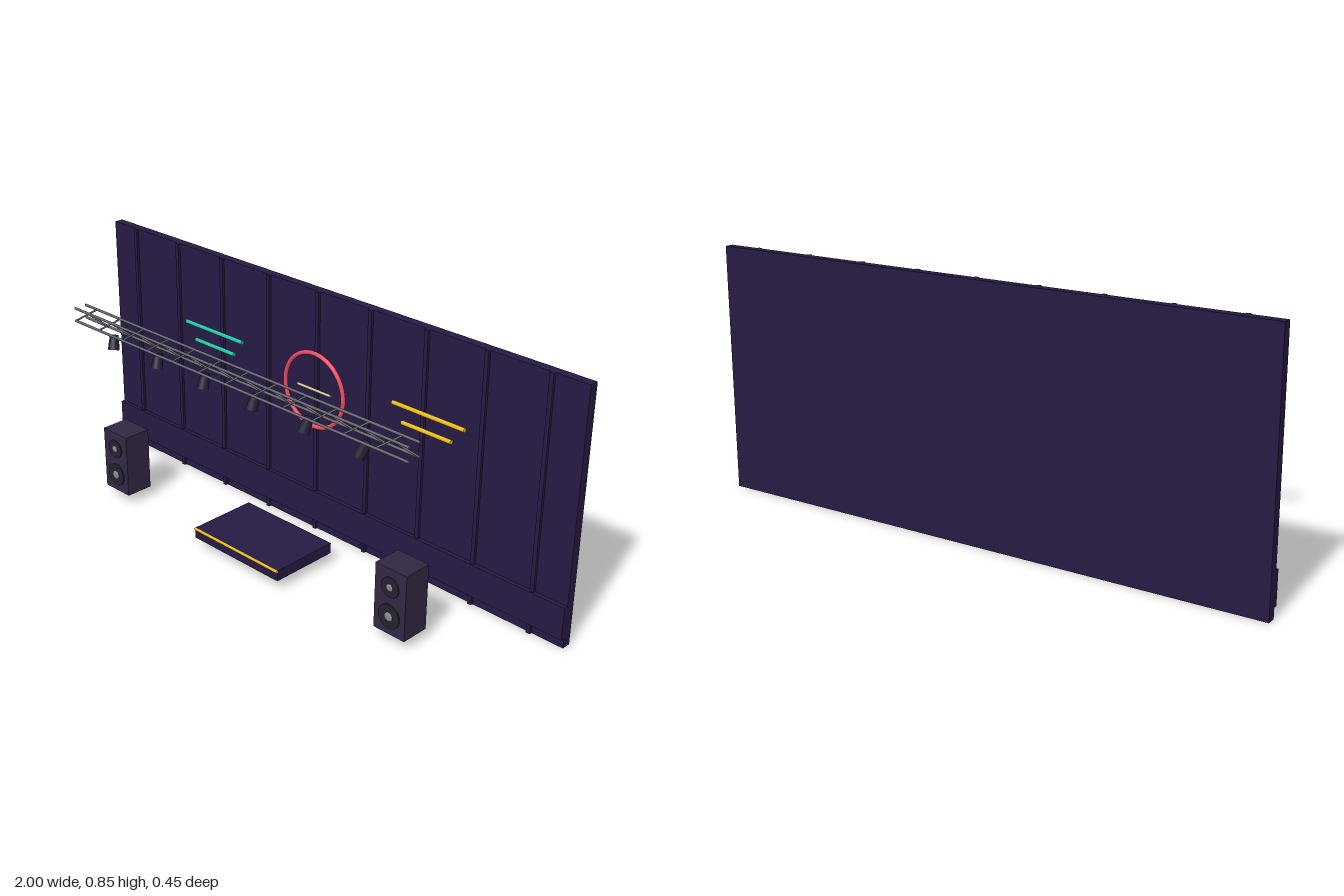
import * as THREE from 'three';

const mat = (name, color) => {
  const m = new THREE.MeshStandardMaterial({ color });
  m.name = name;
  return m;
};

export function createModel() {
  const root = new THREE.Group();
  root.name = 'stageSet';
  const M = {
    wall: mat('wallPurple', 0x261a43),
    cabinet: mat('cabinetCharcoal', 0x312842),
    cone: mat('coneBlack', 0x262230),
    cap: mat('capGrey', 0x8a8894),
    truss: mat('trussGrey', 0x67666f),
    lamp: mat('lampDark', 0x241f36),
    red: mat('neonRed', 0xf5506a),
    teal: mat('neonTeal', 0x20c4a4),
    yellow: mat('neonYellow', 0xeabc14),
    pale: mat('paleWarm', 0xd8caa0),
  };

  const add = (name, geo, material, x = 0, y = 0, z = 0, parent = root) => {
    const mesh = new THREE.Mesh(geo, material);
    mesh.name = name;
    mesh.position.set(x, y, z);
    parent.add(mesh);
    return mesh;
  };
  // Box given by its min and max corners
  const box = (name, material, x0, x1, y0, y1, z0, z1, parent = root) =>
    add(name, new THREE.BoxGeometry(x1 - x0, y1 - y0, z1 - z0), material,
      (x0 + x1) / 2, (y0 + y1) / 2, (z0 + z1) / 2, parent);
  // Round bar between two points
  const up = new THREE.Vector3(0, 1, 0);
  const bar = (name, material, a, b, r, parent = root) => {
    const p = new THREE.Vector3(...a), q = new THREE.Vector3(...b);
    const d = q.clone().sub(p);
    const mesh = add(name, new THREE.CylinderGeometry(r, r, d.length(), 24), material, 0, 0, 0, parent);
    mesh.position.copy(p).add(q).multiplyScalar(0.5);
    mesh.quaternion.setFromUnitVectors(up, d.normalize());
    return mesh;
  };

  // Back wall with vertical battens and a low panel
  box('backWall', M.wall, -1, 1, 0, 0.845, -0.223, -0.192);
  for (let i = -4; i <= 4; i++) {
    box('wallBatten', M.wall, i * 0.22 - 0.007, i * 0.22 + 0.007, 0, 0.845, -0.193, -0.183);
  }
  box('lowerPanel', M.wall, -1, 1, 0.035, 0.145, -0.193, -0.178);

  // Neon ring and light bars
  add('neonRing', new THREE.TorusGeometry(0.1275, 0.0075, 20, 80), M.red, 0, 0.513, -0.174);
  bar('ringBar', M.pale, [-0.072, 0.515, -0.174], [0.072, 0.515, -0.174], 0.0045);
  for (const [side, material] of [[-1, M.teal], [1, M.yellow]]) {
    for (const [x0, x1, y] of [[0.33, 0.608, 0.58], [0.37, 0.562, 0.525]]) {
      bar('neonBar', material, [side * x0, y, -0.174], [side * x1, y, -0.174], 0.007);
    }
  }

  // Lighting truss: four chords with zigzag lacing
  const truss = new THREE.Group();
  truss.name = 'truss';
  root.add(truss);
  const [yLow, yHigh, zBack, zFront] = [0.658, 0.702, 0.17, 0.214];
  for (const y of [yLow, yHigh]) for (const z of [zBack, zFront]) {
    bar('trussChord', M.truss, [-0.72, y, z], [0.72, y, z], 0.0043, truss);
  }
  for (let i = 0; i < 24; i++) {
    const x = -0.72 + i * 0.06;
    const [ya, yb] = i % 2 ? [yHigh, yLow] : [yLow, yHigh];
    bar('trussLacing', M.truss, [x, ya, zFront], [x + 0.06, yb, zBack], 0.003, truss);
  }

  // Hanging spotlights, tipped forward and inward
  const lenses = [M.red, M.teal, M.yellow];
  for (let i = 0; i < 6; i++) {
    const x = (i - 2.5) * 0.217;
    const lamp = new THREE.Group();
    lamp.name = 'spotlight';
    lamp.position.set(x, 0.629, 0.199);
    lamp.rotation.set(-0.33, 0, -x * 0.5);
    root.add(lamp);
    add('lampBody', new THREE.CylinderGeometry(0.014, 0.019, 0.048, 24), M.lamp, 0, 0, 0, lamp);
    add('lampLens', new THREE.CylinderGeometry(0.0175, 0.0175, 0.002, 24), lenses[i % 3], 0, -0.0245, 0, lamp);
  }

  // Loudspeakers with two drivers each
  for (const side of [-1, 1]) {
    const speaker = new THREE.Group();
    speaker.name = side > 0 ? 'leftSpeaker' : 'rightSpeaker';
    speaker.position.x = side * 0.624;
    root.add(speaker);
    box('cabinet', M.cabinet, -0.059, 0.059, 0.035, 0.256, 0.055, 0.153, speaker);
    for (const [y, r, capR] of [[0.196, 0.033, 0.012], [0.097, 0.04, 0.015]]) {
      const cone = add('driverCone', new THREE.CylinderGeometry(r, r, 0.006, 32), M.cone, 0, y, 0.154, speaker);
      cone.rotation.x = Math.PI / 2;
      const cap = add('dustCap', new THREE.SphereGeometry(capR, 24, 16), M.cap, 0, y, 0.1565, speaker);
      cap.scale.z = 0.32;
    }
  }

  // Low riser with a glowing front edge
  box('riser', M.wall, -0.19, 0.19, 0.035, 0.072, -0.062, 0.18);
  bar('riserEdgeStrip', M.yellow, [-0.19, 0.068, 0.1805], [0.19, 0.068, 0.1805], 0.0045);

  return root;
}
